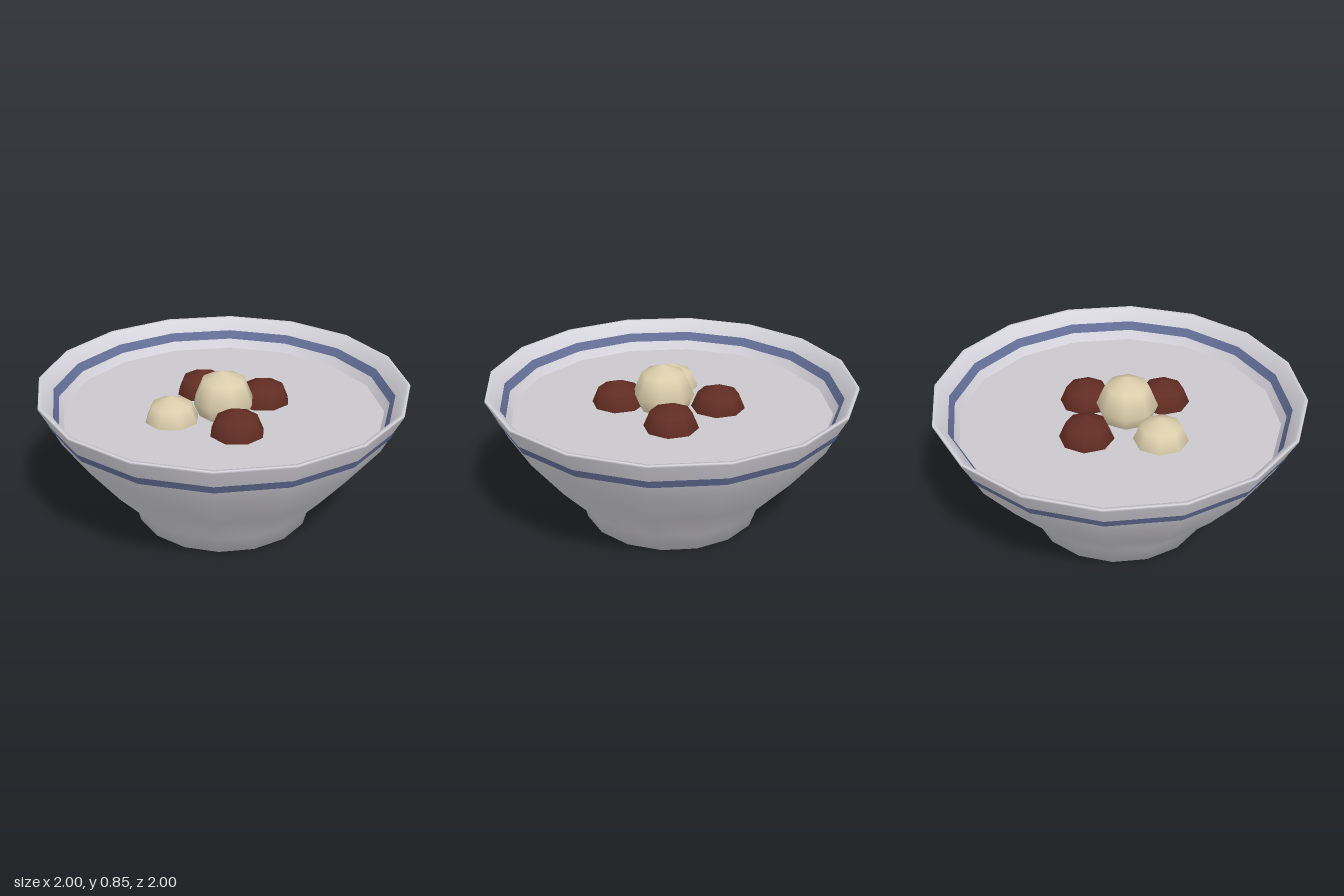
import * as THREE from 'three';

const SIDES = 16;

function material(name, color) {
  const m = new THREE.MeshStandardMaterial({ color });
  m.name = name;
  return m;
}

// Turn a list of [radius, height] pairs around the y axis
function turned(name, profile, mat) {
  const points = profile.map(([r, y]) => new THREE.Vector2(r, y));
  const mesh = new THREE.Mesh(new THREE.LatheGeometry(points, SIDES), mat);
  mesh.name = name;
  return mesh;
}

export function createModel() {
  const porcelain = material('porcelain', 0xd6d4dc);
  const glazeBlue = material('glaze blue', 0x656f98);
  const broth = material('broth', 0xcac8cd);
  const cream = material('cream dumpling', 0xddcfad);
  const brown = material('brown dumpling', 0x622d23);

  const model = new THREE.Group();
  model.name = 'dumplingBowl';

  // Bowl: base, foot, flaring wall, rounded rim and inner wall
  model.add(turned('bowl', [
    [0, 0], [0.485, 0], [0.51, 0.095], [0.715, 0.32], [0.89, 0.545],
    [0.945, 0.66], [0.998, 0.762], [0.995, 0.772], [0.975, 0.77],
    [0.927, 0.705], [0.9, 0.66], [0.865, 0.6], [0.7, 0.36], [0, 0.14],
  ], porcelain));

  // Painted stripes, just clear of the wall
  model.add(turned('outerStripe', [[0.933, 0.625], [0.949, 0.66], [0.954, 0.67]], glazeBlue));
  model.add(turned('innerStripe', [[0.923, 0.705], [0.896, 0.66]], glazeBlue));

  // Broth surface
  const soup = new THREE.Mesh(new THREE.CircleGeometry(0.872, SIDES), broth);
  soup.name = 'broth';
  soup.rotation.x = -Math.PI / 2;
  soup.position.y = 0.61;
  model.add(soup);

  // Dumplings: four floating, one resting on top
  const dumplings = [
    ['backDumpling', brown, 0.157, -0.03, 0.585, -0.25],
    ['frontDumpling', brown, 0.157, -0.03, 0.585, 0.295],
    ['leftDumpling', brown, 0.157, 0.245, 0.585, -0.025],
    ['rightDumpling', cream, 0.157, -0.3, 0.585, 0.03],
    ['topDumpling', cream, 0.167, -0.015, 0.685, 0.045],
  ];
  for (const [name, mat, radius, x, y, z] of dumplings) {
    const ball = new THREE.Mesh(new THREE.SphereGeometry(radius, 8, 4), mat);
    ball.name = name;
    ball.position.set(x, y, z);
    model.add(ball);
  }

  return model;
}
